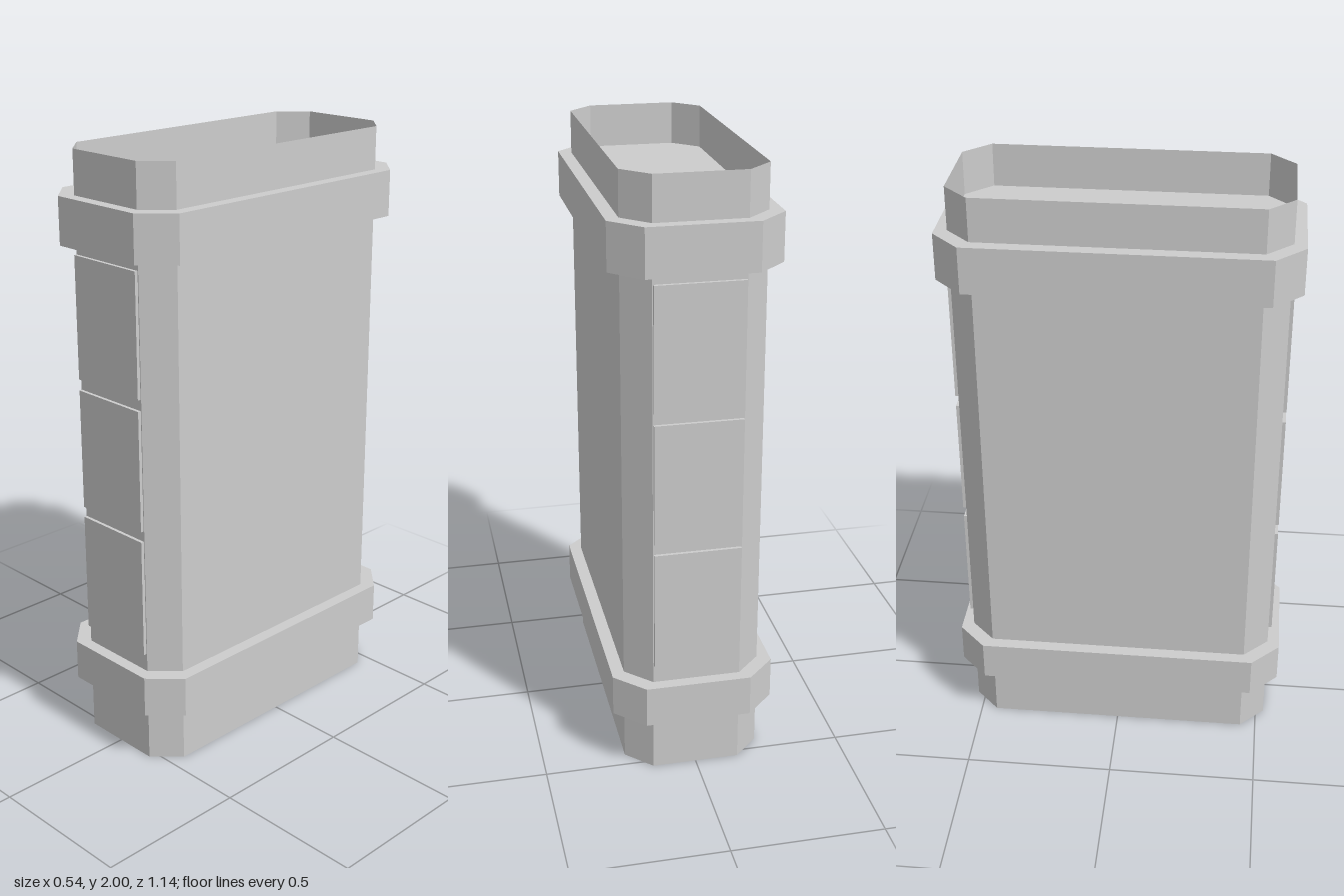
import * as THREE from 'three';

// Corners of a rectangle with chamfered corners: half sizes and half lengths of the flats
function outline(x, z, fx, fz) {
  return [[fx, z], [x, fz], [x, -fz], [fx, -z], [-fx, -z], [-x, -fz], [-x, fz], [-fx, z]];
}

// Open-ended wall following an outline
function wallGeometry(points, y0, y1) {
  const pos = [];
  points.forEach(([ax, az], i) => {
    const [bx, bz] = points[(i + 1) % points.length];
    pos.push(ax, y0, az, bx, y0, bz, bx, y1, bz, ax, y0, az, bx, y1, bz, ax, y1, az);
  });
  const g = new THREE.BufferGeometry();
  g.setAttribute('position', new THREE.Float32BufferAttribute(pos, 3));
  g.computeVertexNormals();
  return g;
}

// Solid slab following an outline
function slabGeometry(points, y0, y1) {
  const shape = new THREE.Shape(points.map(([x, z]) => new THREE.Vector2(x, -z)));
  const g = new THREE.ExtrudeGeometry(shape, { depth: y1 - y0, bevelEnabled: false });
  return g.rotateX(-Math.PI / 2).translate(0, y0, 0);
}

export function createModel() {
  const group = new THREE.Group();
  const grey = new THREE.MeshStandardMaterial({ color: 0xcccccc, side: THREE.DoubleSide });
  grey.name = 'lightGrey';
  const add = (name, geometry) => {
    const mesh = new THREE.Mesh(geometry, grey);
    mesh.name = name;
    group.add(mesh);
    return mesh;
  };

  // Thin column wall, open at both ends
  add('columnWall', wallGeometry(outline(0.226, 0.528, 0.144, 0.446), 0, 2));

  // Solid collars, which also close the inside of the column
  const collar = outline(0.268, 0.568, 0.173, 0.474);
  add('lowerCollar', slabGeometry(collar, 0.19, 0.328));
  add('upperCollar', slabGeometry(collar, 1.704, 1.858));

  // Three raised panels on each narrow end
  for (const side of [1, -1]) {
    for (const y of [0.592, 1.032, 1.473]) {
      const panel = add(side > 0 ? 'frontPanel' : 'backPanel', new THREE.BoxGeometry(0.282, 0.404, 0.02));
      panel.position.set(0, y, side * 0.529);
    }
  }
  return group;
}
